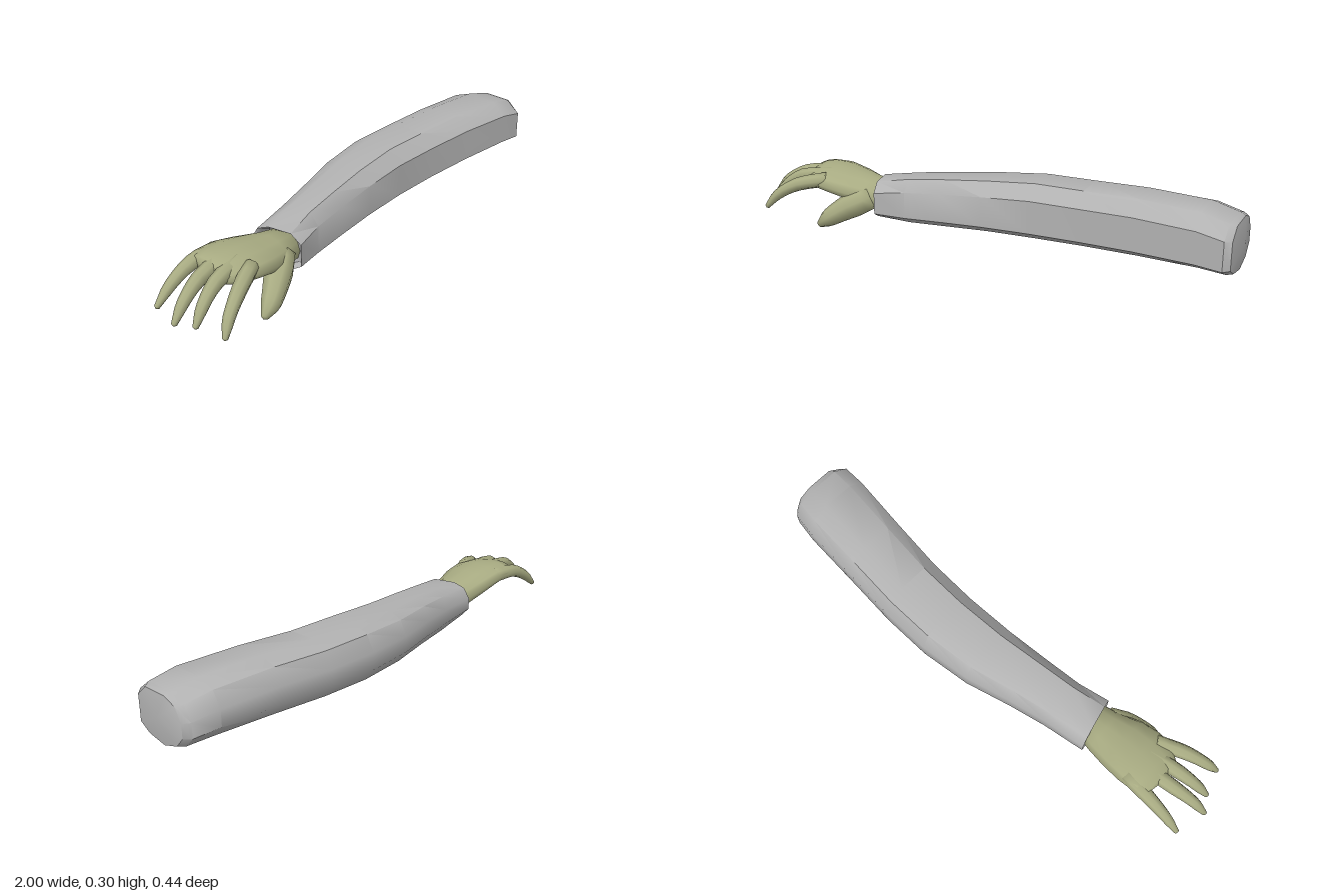
import * as THREE from 'three';
import { toCreasedNormals } from 'three/addons/utils/BufferGeometryUtils.js';

// Skin a list of equal-length rings, closing both ends with a fan
function loft(rings, startTip, endTip) {
  const n = rings[0].length;
  const pts = rings.flat();
  const idx = [];
  for (let i = 0; i < rings.length - 1; i++) {
    for (let j = 0; j < n; j++) {
      const k = (j + 1) % n;
      const a = i * n + j, b = i * n + k, c = a + n, d = b + n;
      idx.push(a, b, d, a, d, c);
    }
  }
  const last = (rings.length - 1) * n;
  const s = pts.push(startTip) - 1;
  const e = pts.push(endTip) - 1;
  for (let j = 0; j < n; j++) {
    const k = (j + 1) % n;
    idx.push(s, k, j, e, last + j, last + k);
  }
  const geo = new THREE.BufferGeometry().setFromPoints(pts);
  geo.setIndex(idx);
  geo.computeVertexNormals();
  return geo;
}

// Tapered, bent digit along a curve with radii spread from root to tip
function digit(path, radii, flat = 1) {
  const curve = new THREE.CatmullRomCurve3(path.map((p) => new THREE.Vector3(...p)));
  const steps = 9, sides = 8, rings = [];
  for (let i = 0; i <= steps; i++) {
    const t = i / steps;
    const c = curve.getPoint(t), d = curve.getTangent(t);
    const up = new THREE.Vector3(0, 0, 1).cross(d).negate().normalize();
    const side = up.clone().cross(d).normalize();
    const f = t * (radii.length - 1), k = Math.min(Math.floor(f), radii.length - 2);
    const r = THREE.MathUtils.lerp(radii[k], radii[k + 1], f - k);
    const ring = [];
    for (let j = 0; j < sides; j++) {
      const a = (j / sides) * Math.PI * 2;
      // side x bUp = travel direction keeps the faces outward
      const bUp = d.clone().cross(side);
      ring.push(c.clone().addScaledVector(side, Math.cos(a) * r)
        .addScaledVector(bUp, Math.sin(a) * r * flat));
    }
    rings.push(ring);
  }
  const tip = curve.getPoint(1).addScaledVector(curve.getTangent(1), radii.at(-1) * 0.6);
  return loft(rings, curve.getPoint(0), tip);
}

export function createModel() {
  const group = new THREE.Group();
  const sleeveGrey = new THREE.MeshStandardMaterial({ color: 0xb2b2b2 });
  sleeveGrey.name = 'sleeveGrey';
  const skin = new THREE.MeshStandardMaterial({ color: 0xa8ab82 });
  skin.name = 'oliveSkin';
  const add = (parent, name, geo, mat) => {
    const mesh = new THREE.Mesh(geo, mat);
    mesh.name = name;
    parent.add(mesh);
  };

  // Sleeve: one rounded-box section (z, y as fractions) scaled along the arm
  const section = [[1, 0.2], [1, 0.74], [0.8, 0.97], [0.35, 1], [0.12, 0.9],
    [0, 0.64], [0, 0.35], [0.15, 0.13], [0.45, 0], [0.8, 0.06]];
  // x, yMin, yMax, zMin, zMax, slant of x toward the front
  const stations = [
    [0.985, 0.078, 0.27, -0.145, 0.09, 0],
    [0.962, 0.074, 0.278, -0.168, 0.11, 0],
    [0.86, 0.076, 0.3, -0.187, 0.102, 0],
    [0.62, 0.066, 0.302, -0.205, 0.07, 0],
    [0.4, 0.055, 0.291, -0.222, 0.046, 0],
    [0.2, 0.047, 0.287, -0.224, 0.038, 0],
    [0, 0.045, 0.27, -0.2, 0.045, 0],
    [-0.18, 0.042, 0.254, -0.152, 0.06, 0],
    [-0.33, 0.04, 0.238, -0.118, 0.075, 0],
    [-0.5, 0.055, 0.215, -0.093, 0.104, 0.045],
    [-0.49, 0.065, 0.207, -0.083, 0.095, 0.045],
    [-0.44, 0.07, 0.2, -0.075, 0.085, 0],
  ];
  const sleeveRings = stations.map(([x, y0, y1, z0, z1, slant]) =>
    section.map(([u, v]) => new THREE.Vector3(
      x + slant * u, y0 + (y1 - y0) * v, z0 + (z1 - z0) * u)));
  const sleeve = loft(sleeveRings,
    new THREE.Vector3(1, 0.18, -0.025), new THREE.Vector3(-0.43, 0.135, 0.01));
  add(group, 'sleeve', toCreasedNormals(sleeve, 0.72), sleeveGrey);

  // Hand
  const hand = new THREE.Group();
  hand.name = 'hand';
  group.add(hand);

  // Palm: x, yMin, yMax, zMin, zMax, drop of the thumb side
  const palmRings = [
    [-0.44, 0.075, 0.2, -0.065, 0.085, 0],
    [-0.52, 0.09, 0.21, -0.085, 0.105, 0.003],
    [-0.6, 0.115, 0.226, -0.1, 0.13, 0.007],
    [-0.68, 0.138, 0.236, -0.108, 0.138, 0.01],
    [-0.75, 0.15, 0.234, -0.104, 0.125, 0.012],
    [-0.79, 0.16, 0.224, -0.085, 0.095, 0.012],
  ].map(([x, y0, y1, z0, z1, drop]) => {
    const ring = [];
    for (let j = 0; j < 12; j++) {
      const a = (j / 12) * Math.PI * 2, c = Math.cos(a), s = Math.sin(a);
      ring.push(new THREE.Vector3(x, (y0 + y1) / 2 + s * (y1 - y0) / 2 - c * drop,
        (z0 + z1) / 2 + c * (z1 - z0) / 2));
    }
    return ring;
  });
  add(hand, 'palm', loft(palmRings,
    new THREE.Vector3(-0.43, 0.137, 0.01), new THREE.Vector3(-0.805, 0.19, 0.005)), skin);

  // Fingers and thumb
  const taper = [0.03, 0.029, 0.024, 0.02, 0.01];
  const fingers = {
    indexFinger: [[-0.69, 0.195, 0.095], [-0.8, 0.172, 0.148], [-0.88, 0.125, 0.182], [-0.922, 0.073, 0.203]],
    middleFinger: [[-0.7, 0.2, 0.045], [-0.83, 0.186, 0.07], [-0.905, 0.142, 0.088], [-0.953, 0.088, 0.1]],
    ringFinger: [[-0.7, 0.205, -0.01], [-0.85, 0.188, 0.012], [-0.935, 0.148, 0.03], [-0.99, 0.093, 0.04]],
    littleFinger: [[-0.69, 0.2, -0.073], [-0.8, 0.192, -0.08], [-0.89, 0.15, -0.082], [-0.957, 0.092, -0.083]],
  };
  for (const [name, path] of Object.entries(fingers)) add(hand, name, digit(path, taper), skin);
  add(hand, 'thumb', digit(
    [[-0.5, 0.14, 0.055], [-0.58, 0.098, 0.105], [-0.65, 0.052, 0.142], [-0.695, 0.017, 0.152]],
    [0.05, 0.054, 0.044, 0.034, 0.014]), skin);
  return group;
}
